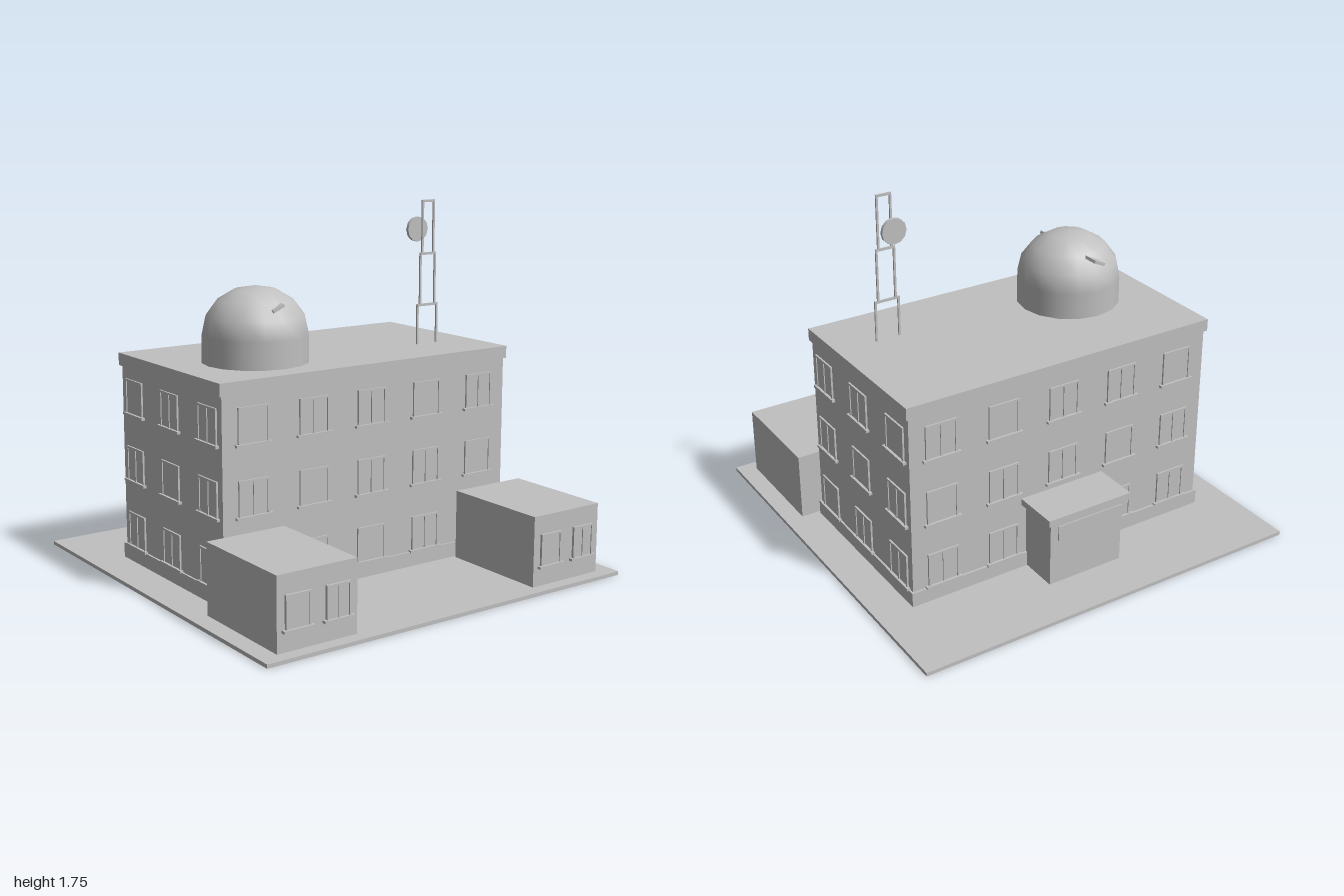
import * as THREE from 'three';

const wall = new THREE.MeshStandardMaterial({ color: 0xc0c0c0 });
wall.name = 'light grey';

function add(parent, name, geometry, x, y, z) {
  const mesh = new THREE.Mesh(geometry, wall);
  mesh.name = name;
  mesh.position.set(x, y, z);
  parent.add(mesh);
  return mesh;
}

// Box given by its minimum and maximum on each axis
function block(parent, name, [x0, x1], [y0, y1], [z0, z1]) {
  return add(parent, name, new THREE.BoxGeometry(x1 - x0, y1 - y0, z1 - z0),
    (x0 + x1) / 2, (y0 + y1) / 2, (z0 + z1) / 2);
}

// Window facing +z with its sill at the local origin
function makeWindow(w, h, sillWidth, mullion) {
  const g = new THREE.Group();
  g.name = 'window';
  const bar = 0.01, d = 0.009;
  block(g, 'pane', [-w / 2, w / 2], [0, h], [-0.003, 0.004]);
  for (const s of [-1, 1]) {
    const x = s * (w - bar) / 2;
    block(g, 'frameSide', [x - bar / 2, x + bar / 2], [0, h], [-0.003, d]);
  }
  block(g, 'frameTop', [-w / 2, w / 2], [h - bar, h], [-0.003, d]);
  if (mullion) block(g, 'mullion', [-bar / 2, bar / 2], [0, h], [-0.003, d]);
  block(g, 'sill', [-sillWidth / 2, sillWidth / 2], [-0.012, 0], [-0.003, 0.017]);
  return g;
}

function placeWindow(parent, x, y, z, turn, w, h, sillWidth, mullion) {
  const win = makeWindow(w, h, sillWidth, mullion);
  win.position.set(x, y, z);
  win.rotation.y = turn;
  parent.add(win);
}

export function createModel() {
  const model = new THREE.Group();
  model.name = 'observatoryBuilding';

  // Ground and main building
  block(model, 'groundSlab', [-1, 1], [0, 0.018], [-1, 1]);
  block(model, 'plinth', [-0.82, 0.82], [0.005, 0.09], [-0.567, 0.369]);
  block(model, 'mainBody', [-0.81, 0.81], [0.09, 0.98], [-0.555, 0.359]);
  block(model, 'roofSlab', [-0.823, 0.823], [0.98, 1.04], [-0.566, 0.367]);

  // Three floors of windows on all four walls
  [0.098, 0.427, 0.757].forEach((y, floor) => {
    for (let i = 0; i < 5; i++) {
      const x = (i - 2) * 0.325;
      const mullion = (i + floor) % 3 !== 2;
      placeWindow(model, x, y, 0.359, 0, 0.16, 0.165, 0.19, mullion);
      if (floor > 0 || i !== 2)
        placeWindow(model, x, y, -0.555, Math.PI, 0.16, 0.165, 0.19, mullion);
    }
    for (let i = 0; i < 3; i++) {
      const z = -0.098 + (i - 1) * 0.338;
      for (const s of [-1, 1])
        placeWindow(model, s * 0.81, y, z, s * Math.PI / 2, 0.16, 0.165, 0.19, (i + floor) % 3 !== 2);
    }
  });

  // Two front annexes
  for (const s of [-1, 1]) {
    const annex = new THREE.Group();
    annex.name = s > 0 ? 'leftAnnex' : 'rightAnnex';
    annex.position.x = s * 0.708;
    model.add(annex);
    block(annex, 'annexBody', [-0.203, 0.203], [0.01, 0.356], [0.384, 0.936]);
    placeWindow(annex, -0.102, 0.117, 0.94, 0, 0.125, 0.15, 0.155, false);
    placeWindow(annex, 0.102, 0.117, 0.94, 0, 0.125, 0.15, 0.155, true);
  }

  // Rear entrance with canopy and hanging panel
  block(model, 'porch', [-0.2, 0.2], [0.01, 0.356], [-0.756, -0.55]);
  block(model, 'canopy', [-0.228, 0.228], [0.356, 0.388], [-0.785, -0.55]);
  block(model, 'hangingPanel', [-0.178, 0.178], [0.27, 0.345], [-0.79, -0.784]);

  // Dome with a tilted beam passing through it
  const dome = new THREE.Group();
  dome.name = 'dome';
  dome.position.set(-0.405, 0, 0);
  model.add(dome);
  add(dome, 'domeDrum', new THREE.CylinderGeometry(0.252, 0.252, 0.127, 16), 0, 1.1035, 0);
  const cap = new THREE.SphereGeometry(0.252, 16, 4, Math.PI / 2, Math.PI * 2, 0, Math.PI / 2);
  cap.scale(1, 0.228 / 0.252, 1);
  add(dome, 'domeCap', cap, 0, 1.167, 0);
  const beam = add(dome, 'domeBeam', new THREE.BoxGeometry(0.064, 0.014, 0.457), -0.003, 1.31, -0.023);
  beam.rotation.z = 0.42;

  // Stepped mast of three narrowing frames
  const mast = new THREE.Group();
  mast.name = 'mast';
  mast.position.set(0.555, 0, 0.075);
  model.add(mast);
  [[0.065, 1.04, 1.24], [0.05, 1.24, 1.493], [0.039, 1.493, 1.75]].forEach(([half, y0, y1]) => {
    for (const s of [-1, 1]) {
      const x = s * (half - 0.005);
      block(mast, 'mastPost', [x - 0.005, x + 0.005], [y0, y1], [-0.004, 0.004]);
    }
    block(mast, 'mastCrossbar', [-half, half], [y1 - 0.012, y1], [-0.004, 0.004]);
  });

  // Dish disc behind the mast
  const dish = new THREE.CylinderGeometry(0.062, 0.062, 0.016, 12);
  dish.rotateX(Math.PI / 2);
  add(model, 'dish', dish, 0.555, 1.6, -0.011);

  return model;
}
